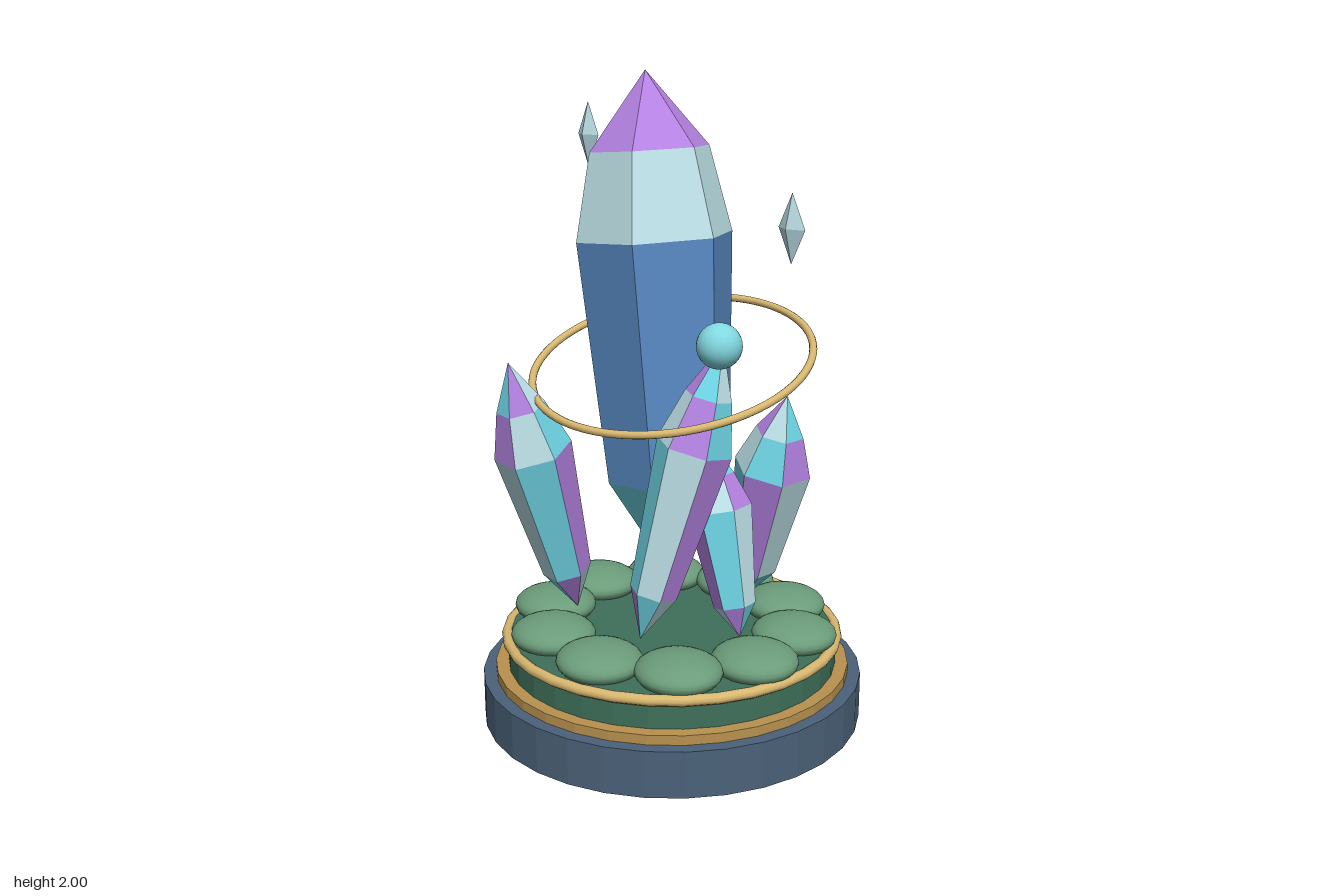
import * as THREE from 'three';

const PURPLE = 0xb583e3, CYAN = 0x70d8e8, PALE = 0xbfe3ea, BLUE = 0x5a8cc6;
const GOLD = 0xd9b870;

function mesh(name, geometry, color, flatShading = false) {
  const m = new THREE.Mesh(geometry, new THREE.MeshStandardMaterial({ color, flatShading }));
  m.name = name;
  return m;
}

// Six-sided crystal between two points. profile: [fraction along axis, radius factor].
// colorOf(band, side) picks the colour of each facet; one mesh per colour.
function crystal(name, base, tip, radius, phase, profile, colorOf) {
  const group = new THREE.Group();
  group.name = name;
  const from = new THREE.Vector3(...base);
  const axis = new THREE.Vector3(...tip).sub(from);
  const length = axis.length();
  const turn = new THREE.Quaternion().setFromUnitVectors(new THREE.Vector3(0, 1, 0), axis.normalize());
  const point = (ring, side) => {
    const [f, r] = profile[ring];
    const t = phase + side * Math.PI / 3;
    return new THREE.Vector3(Math.cos(t) * r * radius, f * length, Math.sin(t) * r * radius)
      .applyQuaternion(turn).add(from);
  };
  const facets = new Map();
  const last = profile.length - 2;
  for (let band = 0; band <= last; band++) {
    for (let side = 0; side < 6; side++) {
      const color = colorOf(band, side);
      if (!facets.has(color)) facets.set(color, []);
      const list = facets.get(color);
      const a = point(band, side), b = point(band, side + 1);
      const c = point(band + 1, side + 1), d = point(band + 1, side);
      if (band < last) list.push(a, d, c);
      if (band > 0) list.push(a, c, b);
      if (band === last) continue;
    }
  }
  for (const [color, points] of facets) {
    const geometry = new THREE.BufferGeometry().setFromPoints(points);
    geometry.computeVertexNormals();
    group.add(mesh(name + 'Facets', geometry, color, true));
  }
  return group;
}

export function createModel() {
  const model = new THREE.Group();
  model.name = 'crystalCluster';

  // Stepped round pedestal: [name, radius, bottom, top, colour]
  const tiers = [
    ['pedestal', 0.6, 0, 0.145, 0x4b6279],
    ['goldBand', 0.56, 0.145, 0.175, 0xb8924f],
    ['gardenBed', 0.52, 0.175, 0.275, 0x3f705a],
  ];
  for (const [name, r, y0, y1, color] of tiers) {
    const tier = mesh(name, new THREE.CylinderGeometry(r, r, y1 - y0, 32), color, true);
    tier.position.y = (y0 + y1) / 2;
    model.add(tier);
  }
  const rim = mesh('goldRim', new THREE.TorusGeometry(0.522, 0.017, 10, 32), GOLD);
  rim.rotation.x = Math.PI / 2;
  rim.position.y = 0.265;
  model.add(rim);

  // Ring of flattened moss mounds
  for (let i = 0; i < 10; i++) {
    const t = i * Math.PI / 5;
    const mound = mesh('mossMound', new THREE.SphereGeometry(1, 24, 14), 0x6b9c7a);
    mound.scale.set(0.135, 0.055, 0.13);
    mound.position.set(Math.cos(t) * 0.405, 0.3, Math.sin(t) * 0.385);
    model.add(mound);
  }

  // Tall central crystal, one colour per band
  const mainBands = [CYAN, BLUE, PALE, PURPLE];
  model.add(crystal('mainCrystal', [0.01, 0.42, -0.01], [-0.11, 2, 0.015], 0.243, -0.13,
    [[0, 0], [0.22, 0.8], [0.69, 1], [0.855, 0.76], [1, 0]], band => mainBands[band]));

  // Leaning crystals with cycling facet colours: base, tip, radius, phase, colour step, colour offset
  const cycle = [PURPLE, CYAN, PALE];
  const shape = [[0, 0], [0.165, 0.64], [0.66, 1], [0.83, 0.62], [1, 0]];
  const leaning = [
    ['frontCrystal', [-0.2, 0.33, 0.225], [-0.18, 1.165, 0.47], 0.12, 0, 1, 0],
    ['rightBackCrystal', [-0.25, 0.33, -0.18], [-0.42, 1.095, -0.32], 0.11, 0.25, 1, 1],
    ['leftFrontCrystal', [0.13, 0.33, 0.22], [0.27, 1.24, 0.02], 0.115, 0.35, 2, 1],
    ['leftBackCrystal', [0.06, 0.33, -0.255], [0.25, 1.04, -0.25], 0.122, 0.45, 1, 2],
    ['smallLeftCrystal', [0.3, 0.33, -0.03], [0.165, 0.92, -0.01], 0.1, 0.2, 2, 0],
  ];
  for (const [name, base, tip, radius, phase, step, offset] of leaning) {
    model.add(crystal(name, base, tip, radius, phase, shape,
      (band, side) => cycle[(side * step + band + offset) % 3]));
  }

  // Tilted golden halo
  const halo = mesh('halo', new THREE.TorusGeometry(0.43, 0.012, 10, 72), GOLD);
  halo.quaternion.setFromUnitVectors(new THREE.Vector3(0, 0, 1),
    new THREE.Vector3(0.13, 1, 0.28).normalize());
  halo.position.set(0, 1.14, 0);
  model.add(halo);

  // Floating orb and shards
  const orb = mesh('orb', new THREE.SphereGeometry(0.065, 24, 16), 0x82d8e0);
  orb.position.set(0.392, 1.27, 0.135);
  model.add(orb);
  for (const [x, y, z] of [[-0.36, 1.8, 0.05], [0.43, 1.58, -0.09], [-0.2, 1.05, -0.21]]) {
    const shard = mesh('floatingShard', new THREE.OctahedronGeometry(1), PALE, true);
    shard.scale.set(0.055, 0.1, 0.024);
    shard.position.set(x, y, z);
    model.add(shard);
  }
  return model;
}
